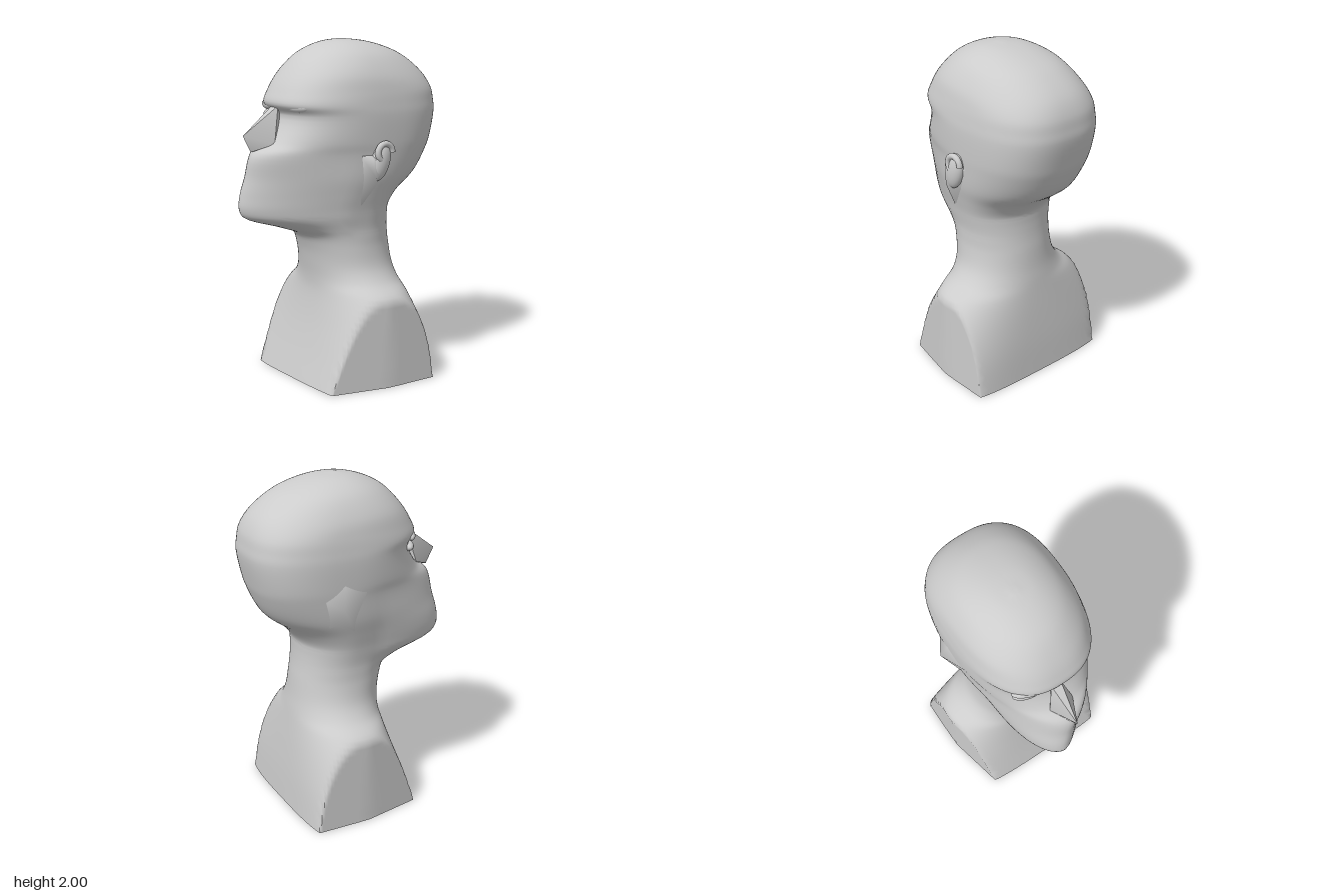
import * as THREE from 'three';
import { toCreasedNormals } from 'three/addons/utils/BufferGeometryUtils.js';
import { ConvexGeometry } from 'three/addons/geometries/ConvexGeometry.js';

const SIDES = 80;
const STEPS = 5;
const ramp = THREE.MathUtils.smoothstep;

// Horizontal sections: height, half width, front z, back z
const BODY = [
  [0.00, 0.78, 0.31, -0.41],
  [0.20, 0.67, 0.25, -0.395],
  [0.38, 0.57, 0.205, -0.375],
  [0.53, 0.455, 0.18, -0.355],
  [0.60, 0.36, 0.18, -0.345],
  [0.68, 0.305, 0.19, -0.332],
  [0.80, 0.28, 0.215, -0.318],
  [0.87, 0.277, 0.25, -0.308],
  [0.92, 0.278, 0.37, -0.303],
  [0.99, 0.288, 0.575, -0.30],
  [1.04, 0.297, 0.60, -0.305],
  [1.12, 0.318, 0.595, -0.365],
  [1.22, 0.345, 0.575, -0.49],
  [1.36, 0.362, 0.55, -0.56],
  [1.43, 0.368, 0.455, -0.58],
  [1.58, 0.373, 0.375, -0.608],
  [1.64, 0.368, 0.42, -0.603],
  [1.71, 0.358, 0.395, -0.59],
  [1.80, 0.332, 0.34, -0.54],
  [1.90, 0.268, 0.25, -0.42],
  [1.95, 0.205, 0.17, -0.31],
  [1.985, 0.12, 0.07, -0.18],
  [2.00, 0.008, -0.03, -0.05],
];

// Squarish at the base, wedge-shaped at the jaw, full at the skull
function sectionPoint([y, w, front, back], angle) {
  const c = Math.cos(angle), s = Math.sin(angle);
  const round = 2.1 + 1.1 * (1 - ramp(y, 0, 0.65)) - 0.5 * ramp(y, 1.65, 2);
  const jaw = -0.4 * ramp(y, 0.85, 0.97) + 0.85 * ramp(y, 1.32, 1.52);
  const skull = 0.55 * ramp(y, 1.1, 1.5);
  const power = 2 / (round + (s > 0 ? jaw : skull));
  const mid = y < 0.8 || y > 1.75 ? (front + back) / 2 : -0.05 - 0.11 * ramp(y, 1, 1.5);
  const z = mid + Math.sign(s) * Math.abs(s) ** power * (s > 0 ? front - mid : mid - back);
  // The chin sits a little off centre
  const shift = -0.09 * ramp(y, 0.85, 0.96) * (1 - ramp(y, 1.04, 1.52));
  const x = Math.sign(c) * Math.abs(c) ** power * w + shift * Math.max(0, (z - 0.1) / 0.5);
  return new THREE.Vector3(x, y, z);
}

// Smooth loft through the sections, with the shoulders cut off flat
function bustGeometry() {
  const pos = [], index = [];
  const rows = (BODY.length - 1) * STEPS;
  for (let i = 0; i < SIDES; i++) {
    const points = BODY.map(b => sectionPoint(b, i / SIDES * Math.PI * 2));
    const curve = new THREE.CatmullRomCurve3(points, false, 'centripetal');
    for (let j = 0; j <= rows; j++) {
      const p = curve.getPoint(j / rows);
      const limit = 0.47 - 0.22 * Math.max(0, p.z + 0.06);
      if (p.y < 0.7) p.x = THREE.MathUtils.clamp(p.x, -limit, limit);
      pos.push(p.x, THREE.MathUtils.clamp(p.y, 0, 2), p.z);
    }
  }
  const at = (i, j) => (i % SIDES) * (rows + 1) + j;
  const bottom = SIDES * (rows + 1), top = bottom + 1;
  pos.push(0, 0, -0.05, 0, 2, -0.04);
  for (let i = 0; i < SIDES; i++) {
    for (let j = 0; j < rows; j++) {
      const a = at(i, j), b = at(i + 1, j), c = at(i + 1, j + 1), d = at(i, j + 1);
      index.push(a, c, b, a, d, c);
    }
    index.push(bottom, at(i, 0), at(i + 1, 0), top, at(i + 1, rows), at(i, rows));
  }
  const g = new THREE.BufferGeometry();
  g.setAttribute('position', new THREE.Float32BufferAttribute(pos, 3));
  g.setIndex(index);
  return toCreasedNormals(g, 1.2);
}

const hull = (points, crease) => toCreasedNormals(
  new ConvexGeometry(points.map(p => new THREE.Vector3(...p))), crease);

export function createModel() {
  const model = new THREE.Group();
  const stone = new THREE.MeshStandardMaterial({ color: 0xcccccc });
  stone.name = 'grey stone';

  const add = (name, geometry, position = [0, 0, 0], scale = [1, 1, 1], rotation = [0, 0, 0]) => {
    const mesh = new THREE.Mesh(geometry, stone);
    mesh.name = name;
    mesh.position.set(...position);
    mesh.scale.set(...scale);
    mesh.rotation.set(...rotation);
    model.add(mesh);
  };

  add('bust', bustGeometry());

  // Wedge nose running into the upper lip
  add('nose', hull([
    [-0.06, 1.63, 0.395], [0.0, 1.63, 0.395], [-0.03, 1.47, 0.61],
    [-0.10, 1.42, 0.45], [0.05, 1.42, 0.45],
    [-0.03, 1.375, 0.56], [-0.03, 1.40, 0.35], [-0.03, 1.65, 0.36],
  ], 0.9));

  // Eye and brows: the right side is fuller, the left a shallow lid
  const ball = new THREE.SphereGeometry(1, 24, 16);
  add('rightEye', ball, [-0.18, 1.565, 0.335], [0.08, 0.03, 0.035], [0, -0.3, 0]);
  add('rightBrow', ball, [-0.17, 1.625, 0.35], [0.10, 0.03, 0.035], [0, -0.35, 0]);
  add('leftBrow', ball, [0.14, 1.63, 0.355], [0.09, 0.03, 0.035], [0, 0.3, 0]);

  // Left ear: shell, rim, and a lobe tapering down to the jaw
  add('leftEar', ball, [0.365, 1.32, -0.06], [0.04, 0.115, 0.06], [-0.3, 0, 0]);
  add('leftEarRim', new THREE.TorusGeometry(0.05, 0.018, 10, 28, Math.PI * 1.3),
    [0.388, 1.37, -0.075], [1, 1, 1], [0, Math.PI / 2, 0]);
  add('leftEarLobe', hull([
    [0.395, 1.23, -0.01], [0.39, 1.33, -0.10], [0.385, 1.34, 0.01],
    [0.30, 1.06, 0.03], [0.32, 1.38, -0.18], [0.33, 1.36, 0.06], [0.30, 1.18, -0.12],
  ], 2));

  // Right ear, a rough pointed mass fading into the cheek
  add('rightEar', hull([
    [-0.41, 1.32, -0.19], [-0.36, 1.48, -0.16], [-0.35, 1.40, 0.0],
    [-0.31, 1.12, -0.06], [-0.32, 1.20, -0.24], [-0.34, 1.38, -0.30],
  ], 2));

  return model;
}
